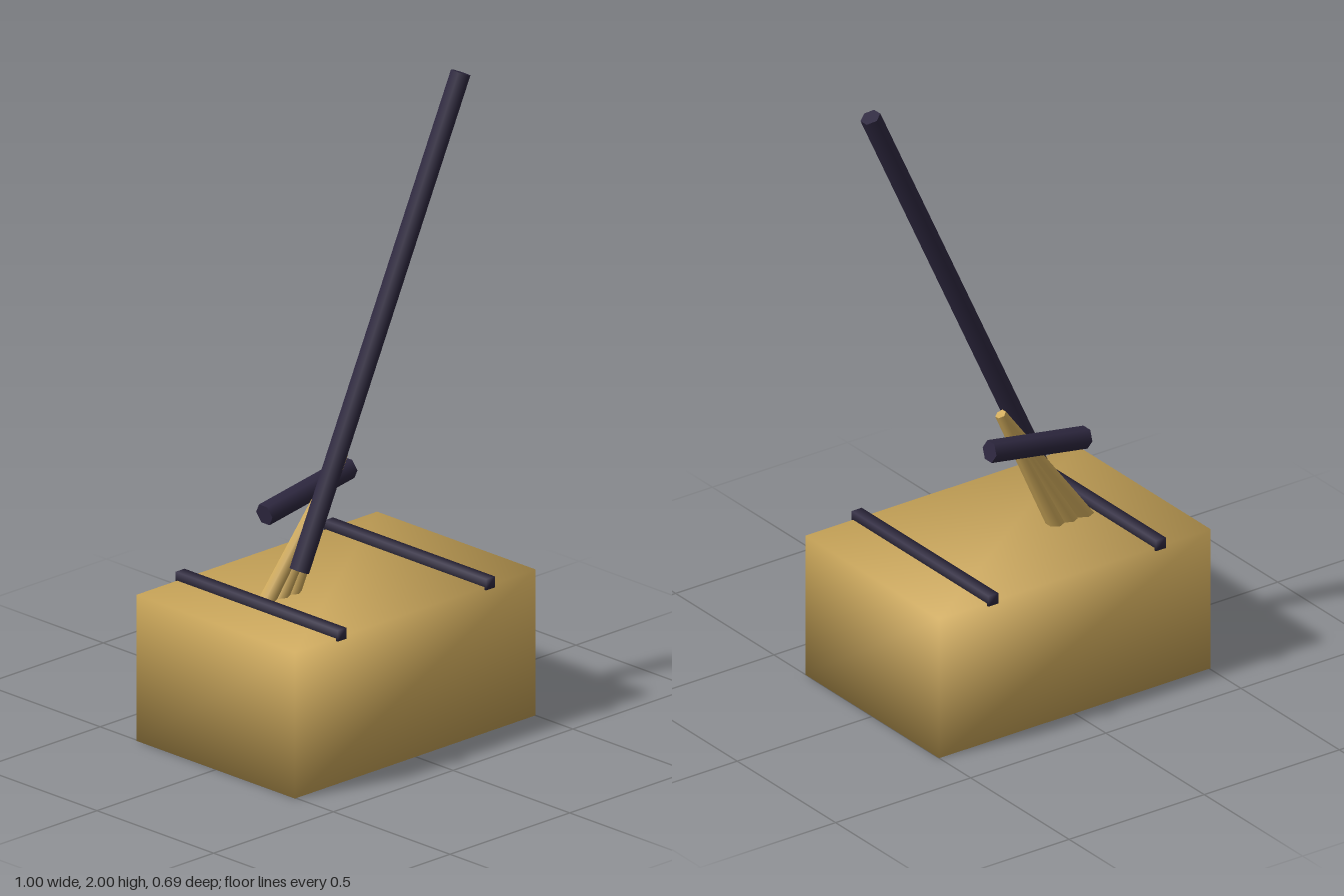
import * as THREE from 'three';
import { mergeVertices } from 'three/addons/utils/BufferGeometryUtils.js';

const straw = new THREE.MeshStandardMaterial({ color: 0xd0ab5c });
const dark = new THREE.MeshStandardMaterial({ color: 0x2e2840 });

// Box whose corners share one normal, for soft shading across the edges
function softBox(w, h, d) {
  const g = new THREE.BoxGeometry(w, h, d);
  g.deleteAttribute('normal');
  g.deleteAttribute('uv');
  const merged = mergeVertices(g);
  merged.computeVertexNormals();
  return merged;
}

// Six-sided rod between two points
function rod(name, from, to, r0, r1, material) {
  const a = new THREE.Vector3(...from);
  const b = new THREE.Vector3(...to);
  const dir = b.clone().sub(a);
  const mesh = new THREE.Mesh(new THREE.CylinderGeometry(r1, r0, dir.length(), 6), material);
  mesh.name = name;
  mesh.position.copy(a).add(b).multiplyScalar(0.5);
  mesh.quaternion.setFromUnitVectors(new THREE.Vector3(0, 1, 0), dir.normalize());
  return mesh;
}

export function createModel() {
  const model = new THREE.Group();
  model.name = 'hayBaleWithFork';

  // Bale
  const bale = new THREE.Mesh(softBox(1.005, 0.467, 0.68), straw);
  bale.name = 'bale';
  bale.position.set(-0.002, 0.2335, 0);
  model.add(bale);

  // Two straps lying across the top
  for (const x of [-0.315, 0.305]) {
    const strap = new THREE.Mesh(softBox(0.037, 0.035, 0.695), dark);
    strap.name = 'strap';
    strap.position.set(x, 0.476, 0);
    model.add(strap);
  }

  // Fork: long handle, crossbar and tines fanning down into the bale
  const fork = new THREE.Group();
  fork.name = 'fork';
  fork.add(rod('handle', [-0.172, 0.552, 0.017], [0.473, 1.985, 0.047], 0.032, 0.032, dark));
  fork.add(rod('crossbar', [-0.251, 0.734, -0.052], [0.104, 0.792, -0.052], 0.035, 0.035, dark));
  for (const x of [-0.27, -0.21, -0.16]) {
    fork.add(rod('tine', [x, 0.45, -0.034], [0.025, 0.872, 0], 0.027, 0.018, straw));
  }
  model.add(fork);

  return model;
}
